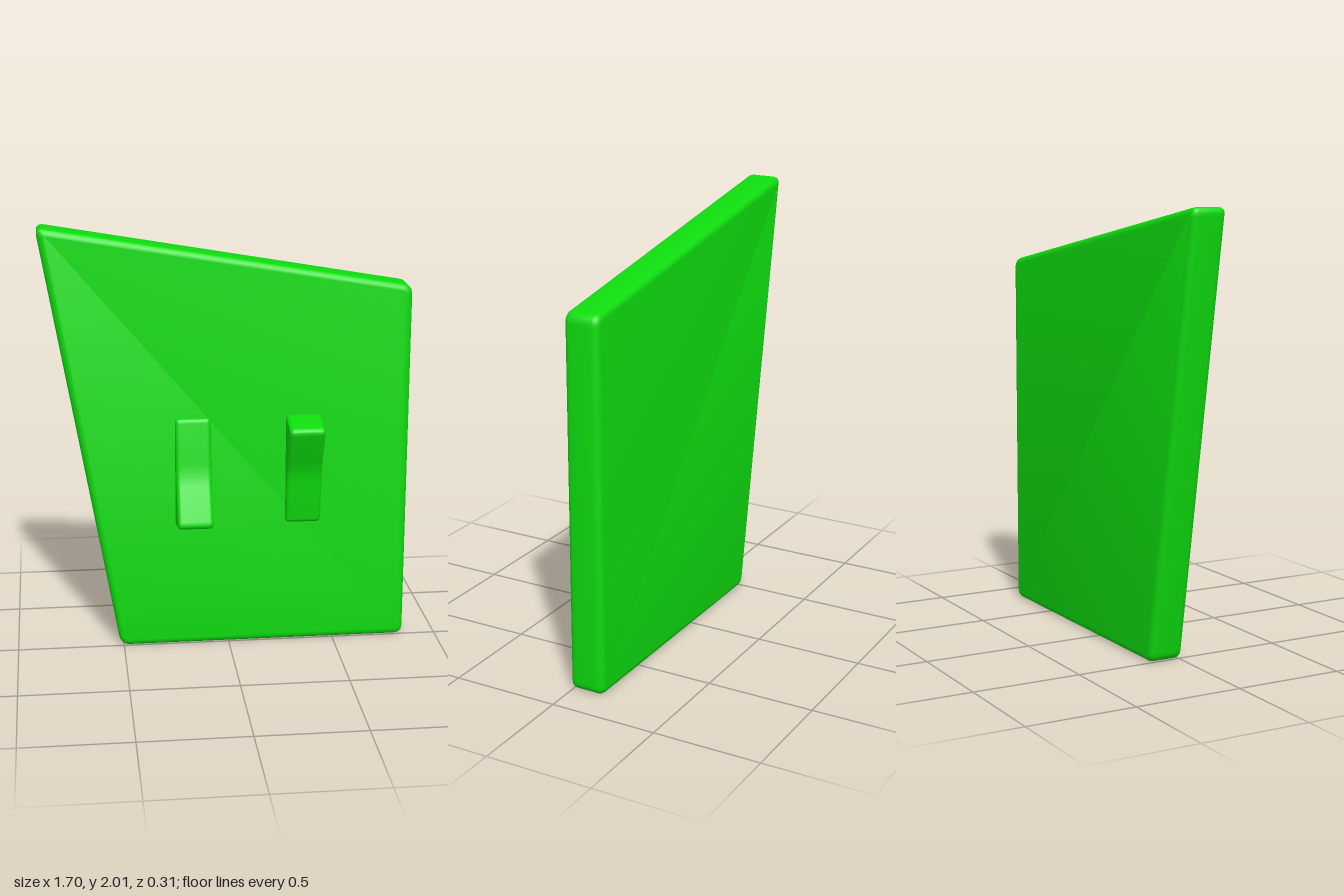
import * as THREE from 'three';
import { toCreasedNormals } from 'three/addons/utils/BufferGeometryUtils.js';

// Polygon outline with rounded corners; each point is [x, y, cornerLength]
function roundedOutline(points) {
  const shape = new THREE.Shape();
  const n = points.length;
  points.forEach(([x, y, r], i) => {
    const corner = new THREE.Vector2(x, y);
    const toward = ([px, py]) => new THREE.Vector2(px, py).sub(corner).setLength(r).add(corner);
    const start = toward(points[(i + n - 1) % n]);
    const end = toward(points[(i + 1) % n]);
    if (i === 0) shape.moveTo(start.x, start.y);
    else shape.lineTo(start.x, start.y);
    shape.quadraticCurveTo(x, y, end.x, end.y);
  });
  shape.closePath();
  return shape;
}

// Slab of the given total thickness, centred on z = 0, with rounded edges
function roundedSlab(points, thickness, bevel) {
  const geometry = new THREE.ExtrudeGeometry(roundedOutline(points), {
    depth: thickness - 2 * bevel,
    bevelThickness: bevel,
    bevelSize: bevel,
    bevelOffset: -bevel,
    bevelSegments: 4,
    curveSegments: 6,
  });
  geometry.translate(0, 0, bevel - thickness / 2);
  return geometry;
}

export function createModel() {
  const model = new THREE.Group();
  model.name = 'switchPlate';
  const material = new THREE.MeshStandardMaterial({ color: 0x0edc0e });

  const add = (name, geometry) => {
    const mesh = new THREE.Mesh(toCreasedNormals(geometry, 0.6), material);
    mesh.name = name;
    model.add(mesh);
    return mesh;
  };

  // Skewed wall plate
  const plate = add('plate', roundedSlab([
    [-0.515, 0, 0.045],
    [0.845, 0, 0.045],
    [0.845, 1.715, 0.045],
    [-0.86, 2.012, 0.045],
  ], 0.165, 0.03));
  plate.position.set(0, 0, -0.0725);

  // Rocker side profile (z, y about its middle), thick end up
  const profile = [
    [-0.06, -0.26, 0.01],
    [0.028, -0.26, 0.02],
    [0.062, 0, 0.06],
    [0.166, 0.228, 0.035],
    [0.02, 0.262, 0.02],
    [-0.06, 0.262, 0.01],
  ];

  // Two rockers, one tipped each way
  for (const [name, x, direction] of [['rightRocker', -0.167, -1], ['leftRocker', 0.348, 1]]) {
    const points = profile.map(([z, y, r]) => [z, y * direction, r]);
    if (direction < 0) points.reverse();
    const rocker = add(name, roundedSlab(points, 0.165, 0.018).rotateY(-Math.PI / 2));
    rocker.position.set(x, 0.86, 0);
  }

  return model;
}
